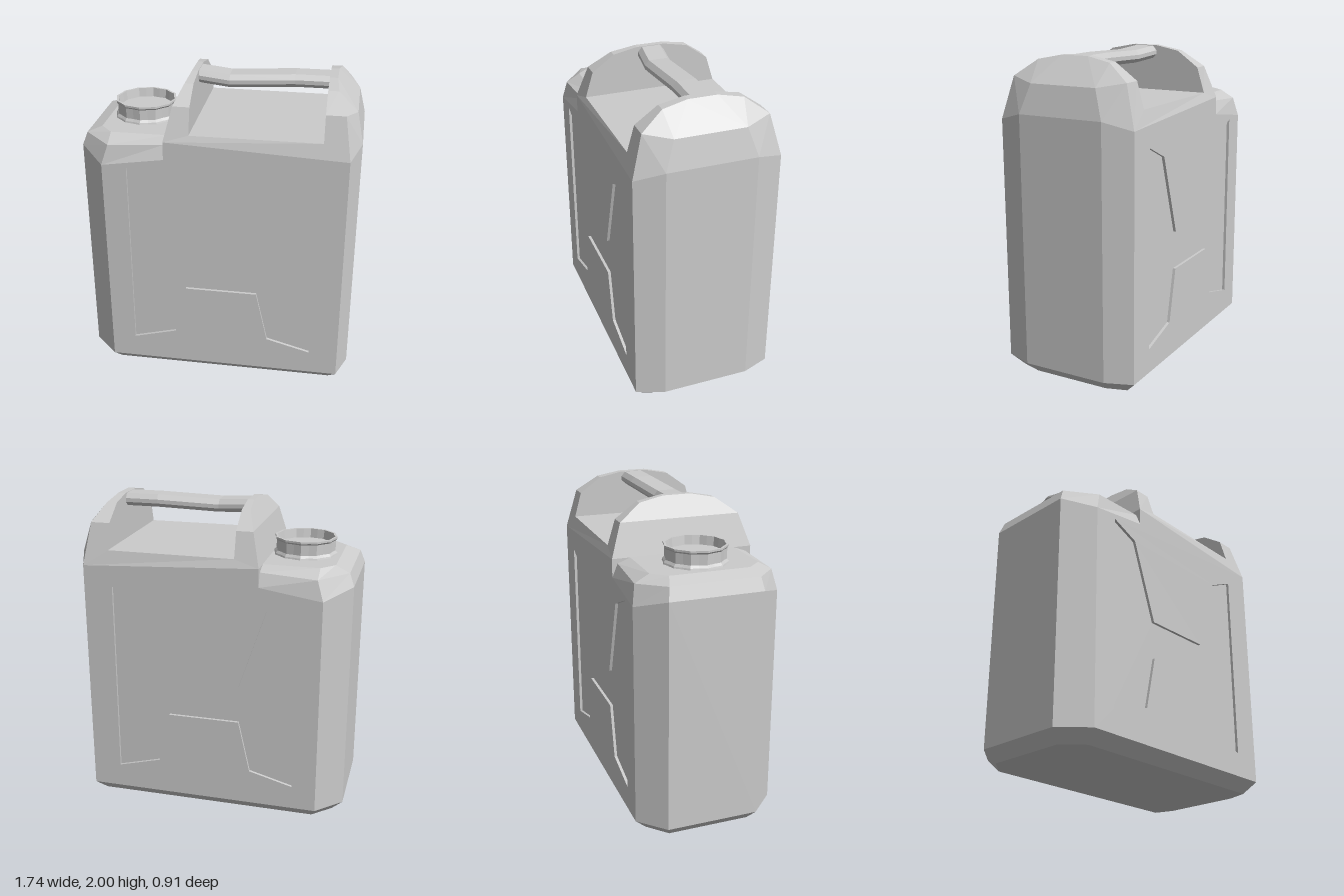
import * as THREE from 'three';

const grey = () => new THREE.MeshStandardMaterial({ color: 0xcccccc, flatShading: true });
const mirror = ([x, y, z]) => [x, y, -z];

// Flat-shaded mesh from convex polygons given as corner lists
function polyMesh(name, polys) {
  const pos = [];
  for (const p of polys)
    for (let i = 1; i < p.length - 1; i++) pos.push(...p[0], ...p[i], ...p[i + 1]);
  const g = new THREE.BufferGeometry();
  g.setAttribute('position', new THREE.Float32BufferAttribute(pos, 3));
  g.computeVertexNormals();
  const m = new THREE.Mesh(g, grey());
  m.name = name;
  return m;
}

// Adds the matching polygons on the back
const bothSides = polys => polys.concat(polys.map(p => p.map(mirror).reverse()));
// Polygon reaching from the front half across to the back half
const span = pts => [...pts, ...pts.map(mirror).reverse()];

// Triangles of a flat outline (with holes) at depth z
function flat(outline, holes, z) {
  const v = a => a.map(([x, y]) => new THREE.Vector2(x, y));
  const all = [outline, ...holes].flat();
  return THREE.ShapeUtils.triangulateShape(v(outline), holes.map(v))
    .map(t => t.map(i => [all[i][0], all[i][1], z]));
}

const Z = 0.455;

// H-shaped recess outline, clockwise
const recess = [
  [-0.555, 1.48], [-0.37, 1.4], [-0.2, 0.89], [0.26, 0.89], [0.43, 1.4], [0.615, 1.485],
  [0.615, 0.23], [0.335, 0.305], [0.26, 0.645], [-0.2, 0.645], [-0.275, 0.305], [-0.555, 0.23],
];

function body() {
  // Base: bottom ring and the ring above its bevel, left end to right end
  const base = [[-0.8, 0, 0.265], [-0.68, 0, 0.38], [0.75, 0, 0.38], [0.79, 0, 0.25]];
  const low = [[-0.87, 0.075, 0.295], [-0.71, 0.075, Z], [0.8, 0.075, Z], [0.865, 0.075, 0.28]];
  // Shoulder under the spout: three rings
  const sh = [
    [[-0.87, 1.55, 0.295], [-0.71, 1.49, Z], [-0.32, 1.55, Z]],
    [[-0.84, 1.63, 0.28], [-0.67, 1.615, 0.43], [-0.32, 1.635, 0.42]],
    [[-0.75, 1.665, 0.25], [-0.67, 1.665, 0.34], [-0.32, 1.665, 0.34]],
  ];
  // Arches at both ends of the handle: outer (L, R) and inner (I, J) edges
  const arch = [[1.87, 0.385], [1.97, 0.245], [2, 0.09]];
  const rim = (x0, y0, z0, xs) => [[x0, y0, z0], ...arch.map(([y, z], i) => [xs[i], y, z])];
  const L = rim(-0.32, 1.665, Z, [-0.27, -0.22, -0.205]);
  const I = rim(-0.165, 1.71, 0.435, [-0.165, -0.165, -0.165]);
  const J = rim(0.64, 1.71, 0.43, [0.64, 0.64, 0.64]);
  const R = rim(0.8, 1.61, Z, [0.76, 0.705, 0.69]);
  const B = [0.825, 1.84, 0.22], C = [0.865, 1.66, 0.28];

  const side = [
    [low[0], low[1], sh[0][1], sh[0][0]],
    [low[2], low[3], C, R[0]],
    [sh[0][2], L[0], sh[2][2], sh[1][2]],
    [L[0], R[0], J[0], I[0]],
    [R[0], C, R[1]], [C, B, R[1]], [B, R[2], R[1]], [B, R[3], R[2]],
  ];
  for (let i = 0; i < 3; i++) {
    side.push([base[i], base[i + 1], low[i + 1], low[i]]);
    side.push([L[i], I[i], I[i + 1], L[i + 1]], [J[i], R[i], R[i + 1], J[i + 1]]);
  }
  for (let r = 0; r < 2; r++)
    for (let i = 0; i < 2; i++)
      side.push([sh[r][i], sh[r][i + 1], sh[r + 1][i + 1], sh[r + 1][i]]);

  // Large side wall with the recess cut out
  const wall = [low[1], low[2], R[0], L[0], sh[0][2], sh[0][1]].map(p => [p[0], p[1]]);
  side.push(...flat(wall, [recess], Z));

  // Polygons crossing the middle, followed around the outline
  const across = [
    [base[0], low[0]], [low[0], sh[0][0]], [sh[0][0], sh[1][0]], [sh[1][0], sh[2][0]], sh[2],
    [L[0], L[1]], [L[1], L[2]], [L[2], L[3]], [L[3], I[3]], [...I].reverse(), [I[0], J[0]], J,
    [J[3], R[3]], [R[3], B], [B, C], [C, low[3]], [low[3], base[3]], [...base].reverse(),
  ].map(span);
  return polyMesh('body', [...bothSides(side), ...across]);
}

function recessedPanels() {
  const d = Z - 0.018;
  const polys = flat([...recess].reverse(), [], d);
  recess.forEach((a, i) => {
    const b = recess[(i + 1) % recess.length];
    polys.push([[...b, Z], [...a, Z], [...a, d], [...b, d]]);
  });
  return polyMesh('recessedPanels', bothSides(polys));
}

// Slightly bent grip with an eight-sided section
function handle() {
  const half = [[0.06, 0], [0.085, -0.03], [0.085, -0.055], [0.06, -0.08]];
  const section = [...half, ...half.map(([z, y]) => [-z, y]).reverse()];
  const path = [[-0.18, 1.998, -0.004], [0.03, 1.982, 0.02], [0.43, 1.998, -0.004], [0.66, 1.998, -0.004]];
  const rings = path.map(([x, y, z]) => section.map(([sz, sy]) => [x, y + sy, z + sz]));
  const polys = [];
  for (let r = 0; r < rings.length - 1; r++)
    section.forEach((_, i) => {
      const j = (i + 1) % section.length;
      polys.push([rings[r][i], rings[r][j], rings[r + 1][j], rings[r + 1][i]]);
    });
  return polyMesh('handle', polys);
}

// Fluted spout rim with a sunken top
function spout() {
  const profile = [
    [0.205, 1.66], [0.2, 1.675], [0.188, 1.69], [0.188, 1.755], [0.197, 1.765],
    [0.197, 1.777], [0.183, 1.777], [0.175, 1.72], [0, 1.72],
  ].map(([r, y]) => new THREE.Vector2(r, y));
  const g = new THREE.LatheGeometry(profile, 24);
  const p = g.attributes.position;
  for (let i = 0; i < p.count; i++) {
    const k = Math.floor(i / profile.length) % 2 ? 0.955 : 1;
    p.setXYZ(i, p.getX(i) * k, p.getY(i), p.getZ(i) * k);
  }
  g.computeVertexNormals();
  const m = new THREE.Mesh(g, grey());
  m.name = 'spout';
  m.position.x = -0.523;
  return m;
}

export function createModel() {
  const group = new THREE.Group();
  group.name = 'jerrycan';
  group.add(body(), recessedPanels(), handle(), spout());
  return group;
}
